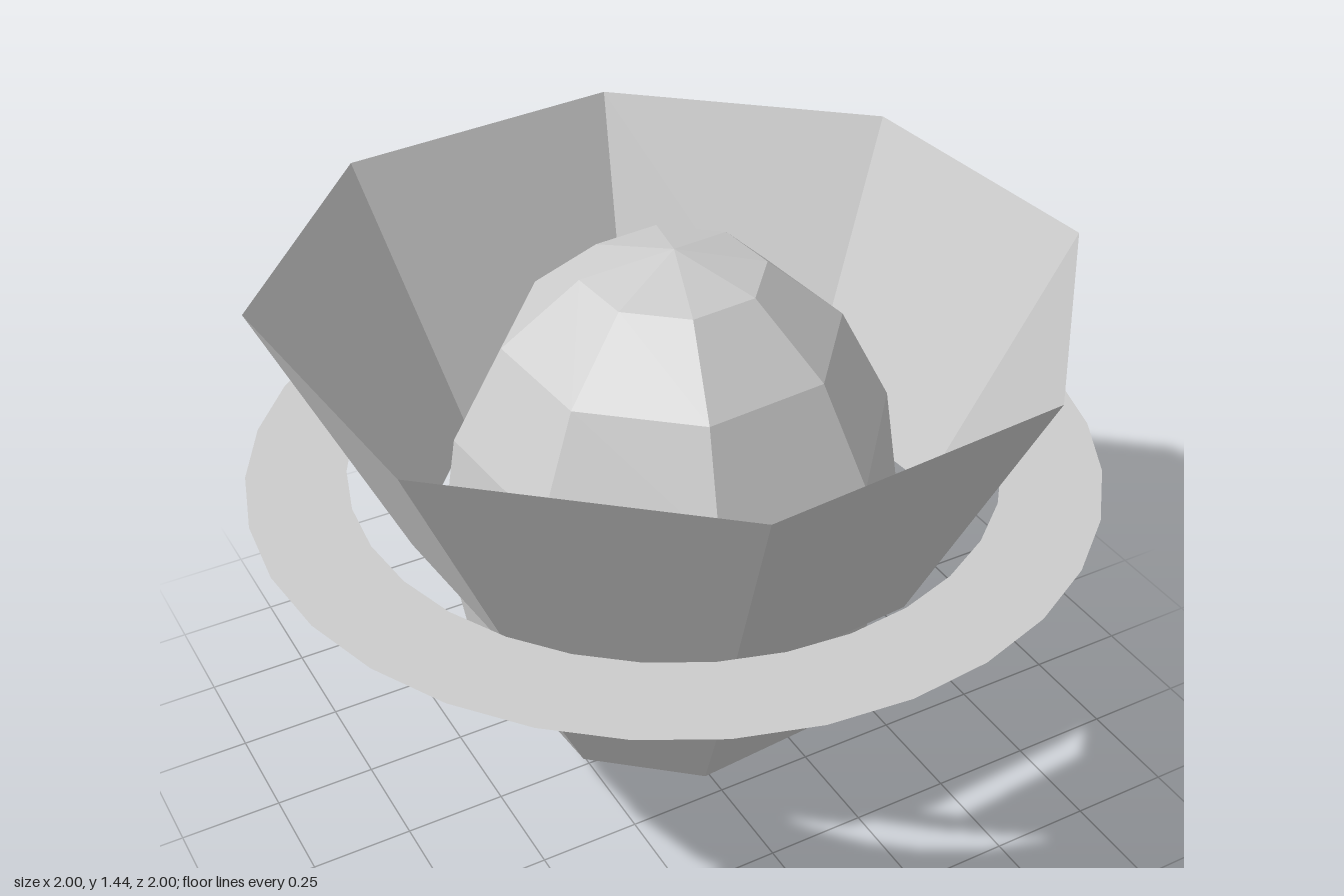
import * as THREE from 'three';

export function createModel() {
  const model = new THREE.Group();
  const sides = 8;
  const turn = -THREE.MathUtils.degToRad(17.9);

  const grey = new THREE.MeshStandardMaterial({ color: 0xcccccc });
  grey.name = 'light grey';
  grey.flatShading = true;
  grey.side = THREE.DoubleSide;

  function add(name, geometry, y) {
    const mesh = new THREE.Mesh(geometry, grey);
    mesh.name = name;
    mesh.position.y = y;
    model.add(mesh);
    return mesh;
  }

  // Faceted egg-shaped core
  const core = new THREE.SphereGeometry(1, sides, 8).scale(0.557, 0.72, 0.557);
  add('core', core, 0.72).rotation.y = turn;

  // Flared collar, open at both ends
  const bottom = 0.71, top = 1.38;
  const collar = new THREE.CylinderGeometry(0.946, 0.631, top - bottom, sides, 1, true);
  add('collar', collar, (top + bottom) / 2).rotation.y = turn;

  // Thin flat ring around the collar
  const ring = new THREE.RingGeometry(0.767, 1, 32).rotateX(-Math.PI / 2);
  add('ring', ring, 0.9);

  return model;
}
